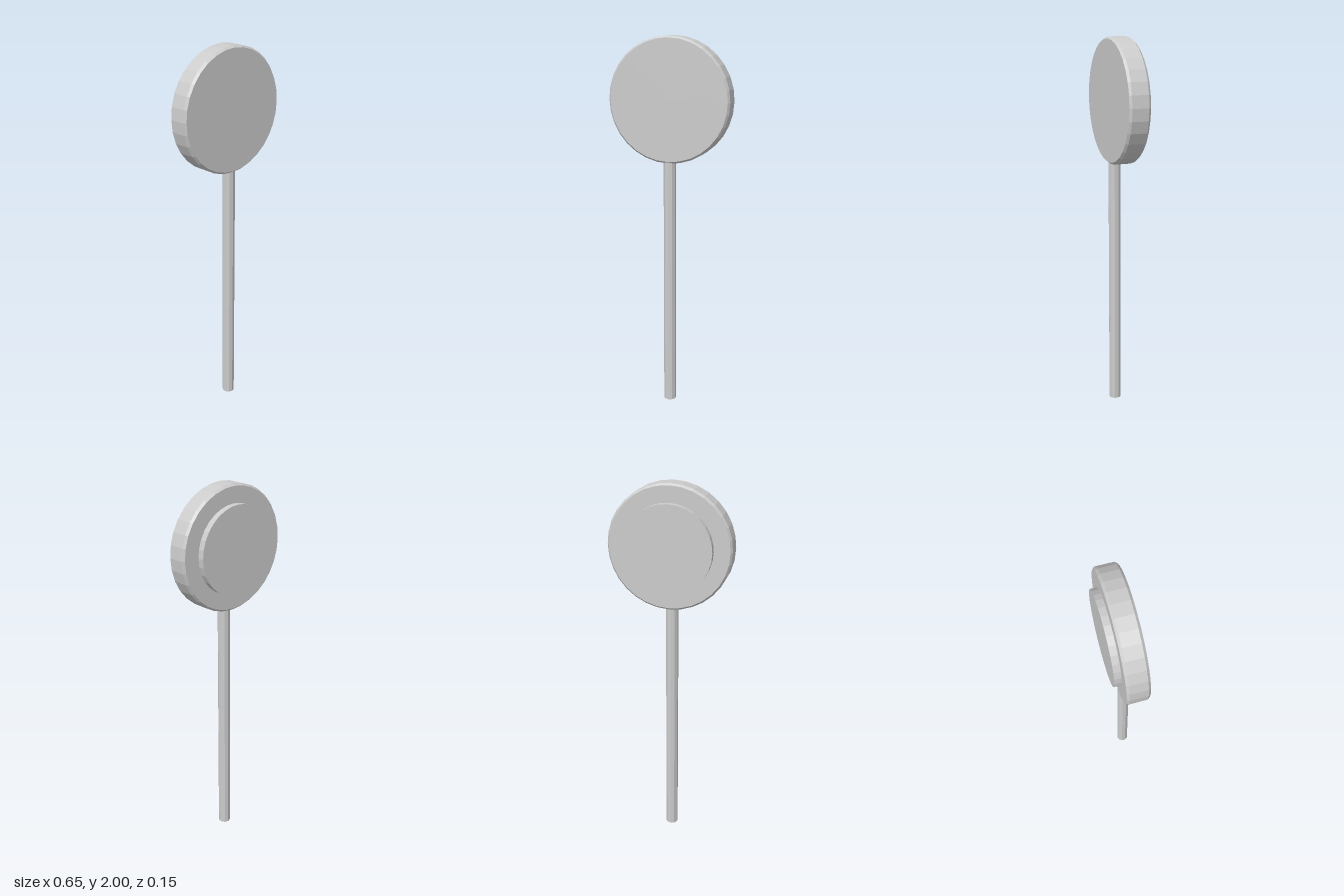
import * as THREE from 'three';

export function createModel() {
  const group = new THREE.Group();
  const material = new THREE.MeshStandardMaterial({ color: 0xcccccc, flatShading: true });

  function addPart(name, geometry, x, y, z) {
    const mesh = new THREE.Mesh(geometry, material);
    mesh.name = name;
    mesh.position.set(x, y, z);
    group.add(mesh);
  }

  const headY = 1.676;

  // Round head with chamfered rims, turned to face the front
  const profile = [
    [0, -0.04], [0.314, -0.04], [0.324, -0.028],
    [0.324, 0.059], [0.314, 0.071], [0, 0.071],
  ].map(([r, h]) => new THREE.Vector2(r, h));
  addPart('head', new THREE.LatheGeometry(profile, 32).rotateX(Math.PI / 2), 0, headY, 0);

  // Smaller raised disc on the back of the head
  const disc = new THREE.CylinderGeometry(0.23, 0.23, 0.036, 32).rotateX(Math.PI / 2);
  addPart('backDisc', disc, 0, headY, -0.056);

  // Ten-sided pole carrying the head
  const poleHeight = 1.365;
  addPart('pole', new THREE.CylinderGeometry(0.033, 0.033, poleHeight, 10), 0, poleHeight / 2, 0.035);

  return group;
}
